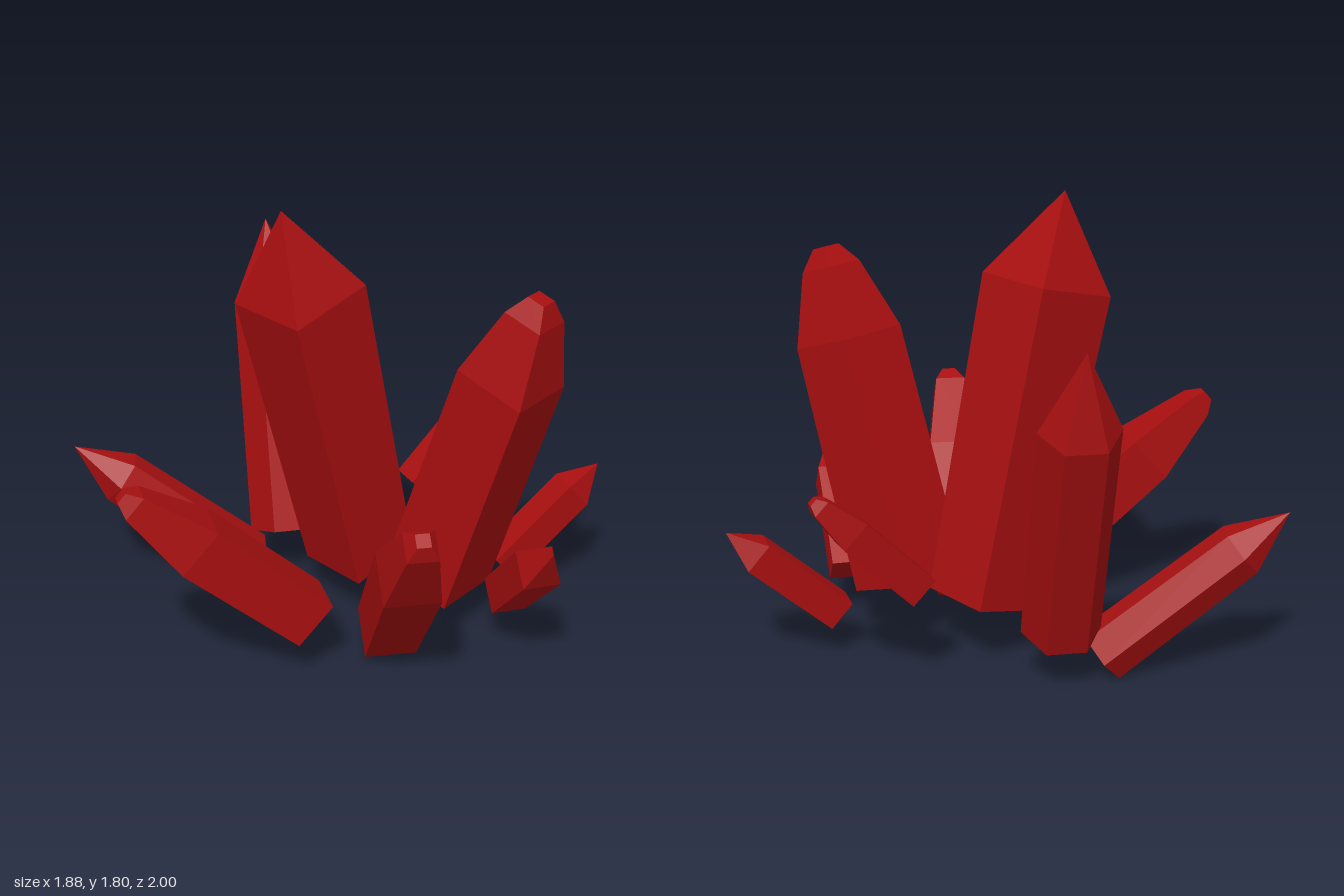
import * as THREE from 'three';

const material = new THREE.MeshStandardMaterial({ color: 0xa80f10, flatShading: true, side: THREE.DoubleSide });

// One faceted crystal running from base to tip. The rings are [fraction of length, radius].
function crystal(name, base, tip, sides, rings) {
  const from = new THREE.Vector3(...base);
  const axis = new THREE.Vector3(...tip).sub(from);
  const length = axis.length();
  const profile = [
    new THREE.Vector2(0, 0),
    ...rings.map(([t, r]) => new THREE.Vector2(r, t * length)),
    new THREE.Vector2(0, length),
  ];
  const mesh = new THREE.Mesh(new THREE.LatheGeometry(profile, sides, Math.PI / sides), material);
  mesh.name = name;
  mesh.position.copy(from);
  // Lean about the crystal's own side axis, then turn to its heading
  mesh.rotation.set(Math.acos(axis.y / length), Math.atan2(axis.x, axis.z), 0, 'YXZ');
  return mesh;
}

// Sharp point above a shoulder
const pointed = (r0, r1, shoulder) => [[0, r0], [shoulder, r1]];
// Long taper to a small, rounded-off end
const blunt = (r0, r1, shoulder, end) => [[0, r0], [shoulder, r1], [0.94, end], [1, end * 0.45]];

export function createModel() {
  const group = new THREE.Group();
  group.name = 'crystalCluster';
  group.add(
    // Tall crystals
    crystal('centreCrystal', [0.19, 0.26, -0.03], [-0.21, 1.83, -0.09], 4, pointed(0.22, 0.25, 0.775)),
    crystal('frontTallCrystal', [0.24, 0.265, 0.33], [0.24, 1.56, 0.76], 4, blunt(0.22, 0.21, 0.73, 0.115)),
    crystal('backTallCrystal', [0.18, 0.24, -0.41], [0.46, 1.46, -0.75], 6, pointed(0.155, 0.155, 0.74)),
    // Leaning crystals on the right-hand side of the model
    crystal('frontLeaningCrystal', [-0.07, 0.13, 0.315], [-0.48, 0.88, 0.78], 4, blunt(0.145, 0.155, 0.62, 0.085)),
    crystal('sideLeaningCrystal', [-0.34, 0.27, 0.14], [-0.92, 0.89, -0.27], 4, blunt(0.145, 0.15, 0.62, 0.075)),
    crystal('backLeaningCrystal', [0.03, 0.115, -0.49], [-0.46, 0.68, -1.0], 6, pointed(0.12, 0.11, 0.74)),
    // Small crystals
    crystal('smallFrontCrystal', [0.3, 0.24, 0.62], [0.03, 0.67, 1.0], 4, pointed(0.1, 0.105, 0.7)),
    crystal('smallSideFrontCrystal', [0.55, 0.2, 0.42], [0.92, 0.58, 0.64], 4, pointed(0.09, 0.09, 0.74)),
    crystal('smallSideCrystal', [0.55, 0.42, -0.02], [0.92, 0.83, 0.15], 4, blunt(0.09, 0.09, 0.65, 0.05)),
  );
  return group;
}
